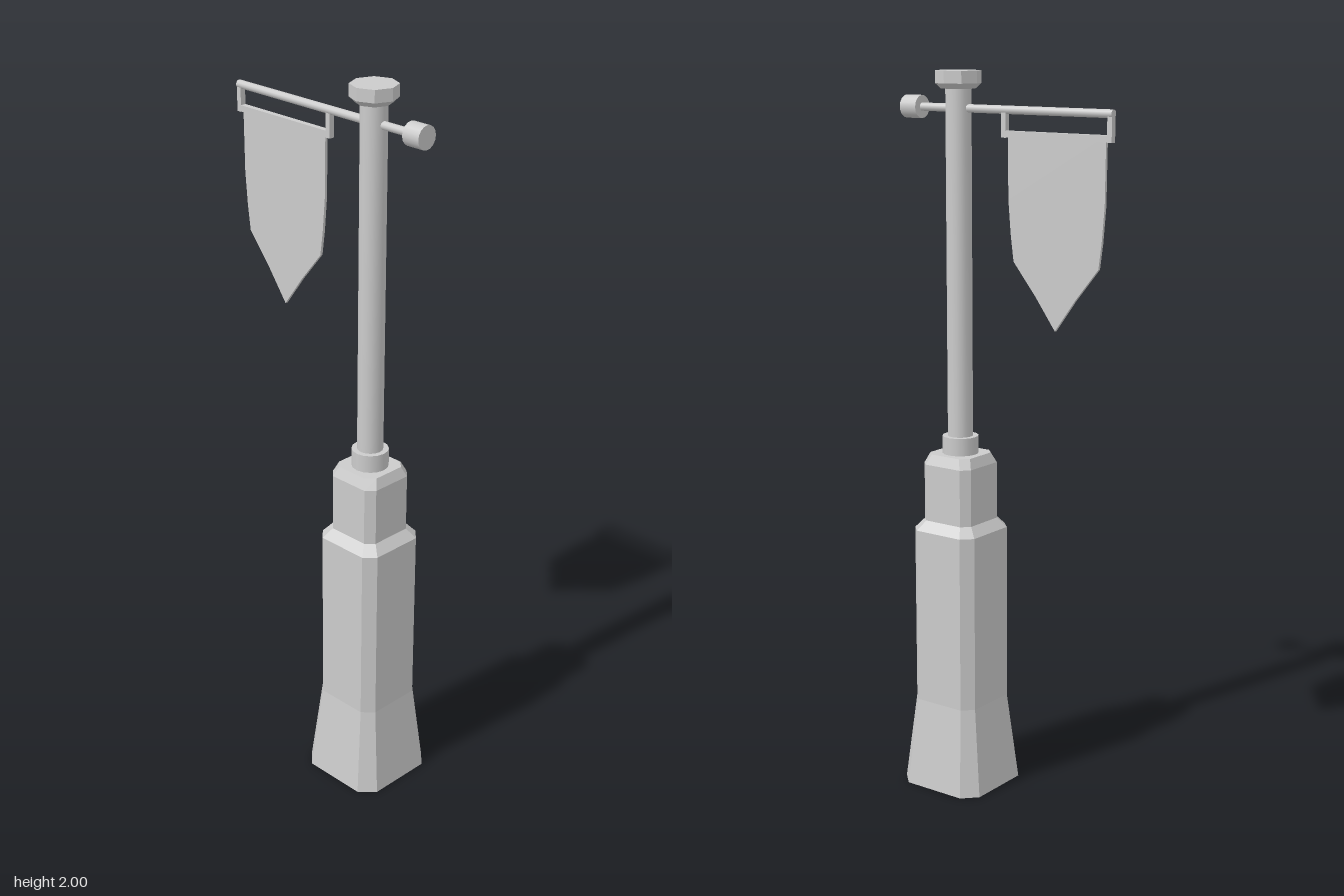
import * as THREE from 'three';

const PX = 0.157; // pole axis
const BAR_Y = 1.902;
const smooth = new THREE.MeshStandardMaterial({ color: 0xcccccc });
const flat = new THREE.MeshStandardMaterial({ color: 0xcccccc, flatShading: true, side: THREE.DoubleSide });

function add(group, name, geometry, material, x = 0, y = 0, z = 0) {
  const mesh = new THREE.Mesh(geometry, material);
  mesh.name = name;
  mesh.position.set(x, y, z);
  group.add(mesh);
  return mesh;
}

// Chamfered-square column lofted through levels of [y, half width, half flat side]
function chamferedColumn(levels) {
  const pos = [], index = [];
  for (const [y, h, f] of levels) {
    const ring = [[h, f], [f, h], [-f, h], [-h, f], [-h, -f], [-f, -h], [f, -h], [h, -f]];
    for (const [x, z] of ring) pos.push(x, y, z);
  }
  for (let l = 0; l < levels.length - 1; l++) {
    for (let i = 0; i < 8; i++) {
      const a = l * 8 + i, b = l * 8 + (i + 1) % 8;
      index.push(a, a + 8, b, b, a + 8, b + 8);
    }
  }
  // closed top, open foot
  const t = (levels.length - 1) * 8;
  for (let i = 1; i < 7; i++) index.push(t, t + i + 1, t + i);
  const g = new THREE.BufferGeometry();
  g.setAttribute('position', new THREE.Float32BufferAttribute(pos, 3));
  g.setIndex(index);
  g.computeVertexNormals();
  return g;
}

// Cylinder lying along x
function barX(radius, x0, x1, sides) {
  return new THREE.CylinderGeometry(radius, radius, x1 - x0, sides)
    .rotateZ(Math.PI / 2).translate((x0 + x1) / 2, 0, 0);
}

export function createModel() {
  const group = new THREE.Group();
  group.name = 'bannerPost';

  // Stepped, flared base
  add(group, 'base', chamferedColumn([
    [0, 0.132, 0.093], [0.25, 0.104, 0.075], [0.748, 0.104, 0.075],
    [0.775, 0.081, 0.059], [0.935, 0.081, 0.059], [0.963, 0.069, 0.047],
  ]), flat, PX);

  // Pole, collar and cap
  add(group, 'collar', new THREE.CylinderGeometry(0.05, 0.05, 0.05, 16), smooth, PX, 0.987);
  add(group, 'pole', new THREE.CylinderGeometry(0.035, 0.035, 0.96, 16), smooth, PX, 1.48);
  add(group, 'capUnderside', new THREE.CylinderGeometry(0.062, 0.047, 0.014, 8).rotateY(Math.PI / 8 * 2), flat, PX, 1.96);
  add(group, 'cap', new THREE.CylinderGeometry(0.062, 0.062, 0.033, 8), flat, PX, 1.9835);

  // Cross arm with end knob
  add(group, 'arm', barX(0.011, -0.333, 0.29, 12), smooth, 0, BAR_Y);
  add(group, 'knob', barX(0.031, 0.28, 0.333, 16), smooth, 0, BAR_Y);

  // Hangers and the rail that carries the banner
  for (const x of [-0.326, 0.004]) {
    add(group, 'hanger', new THREE.BoxGeometry(0.014, 0.075, 0.016), flat, x, 1.868);
  }
  add(group, 'bannerRail', new THREE.BoxGeometry(0.33, 0.017, 0.016), flat, -0.161, 1.84);

  // Pointed banner, mirrored about its centre line
  const half = [[0.153, 1.848], [0.151, 1.67], [0.143, 1.575], [0.134, 1.508], [0.062, 1.42]];
  const outline = [
    ...half, [0, 1.335], ...half.slice().reverse().map(([x, y]) => [-x, y]),
  ].map(([x, y]) => new THREE.Vector2(x, y));
  const cloth = new THREE.ExtrudeGeometry(new THREE.Shape(outline), { depth: 0.008, bevelEnabled: false });
  add(group, 'banner', cloth, flat, -0.161, 0, -0.004);

  return group;
}
